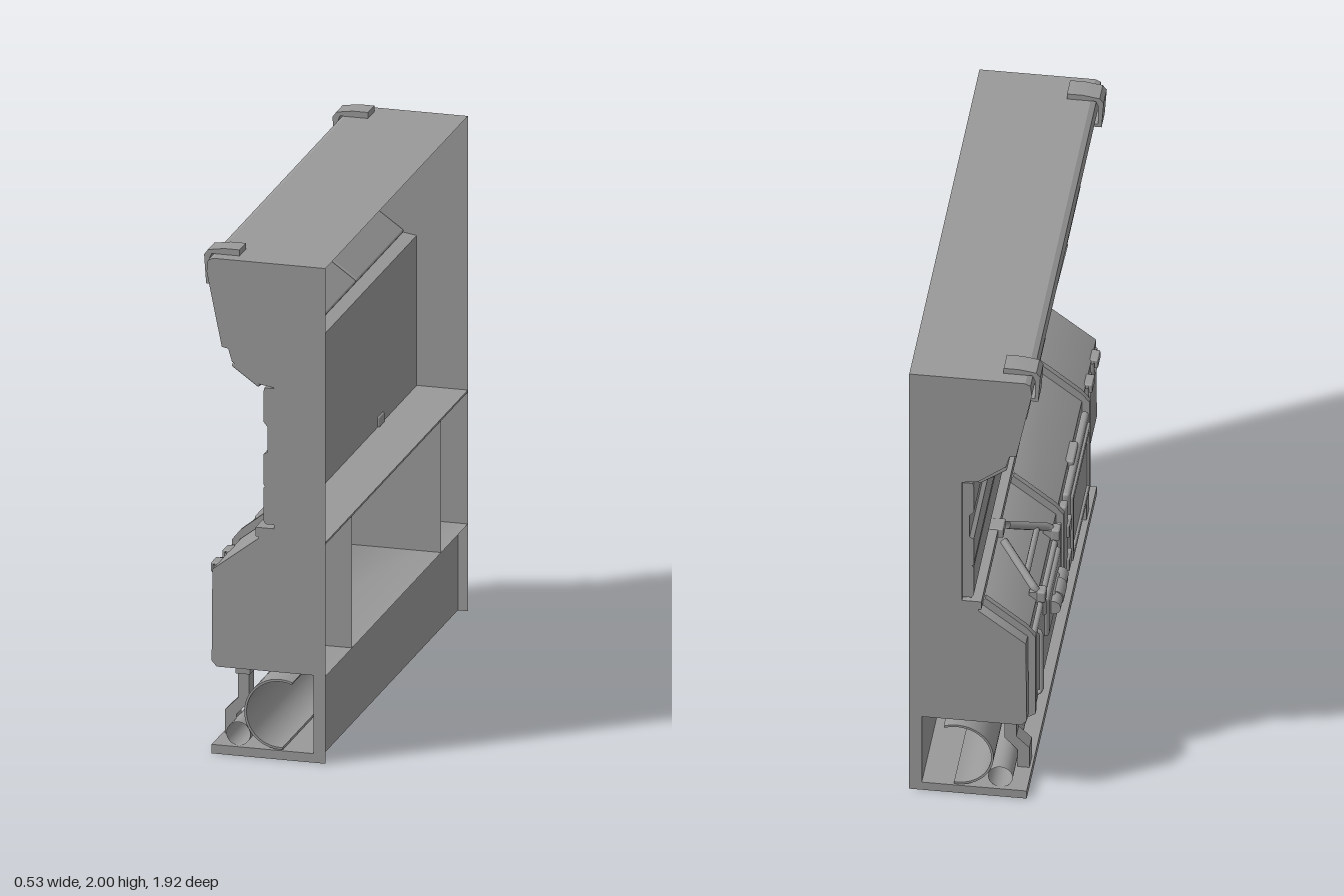
import * as THREE from 'three';
import { toCreasedNormals } from 'three/addons/utils/BufferGeometryUtils.js';
import { RoundedBoxGeometry } from 'three/addons/geometries/RoundedBoxGeometry.js';

const HALF = 0.96;
const BACK = 0.264;

export function createModel() {
  const group = new THREE.Group();
  const mat = new THREE.MeshStandardMaterial({ color: 0x999999, side: THREE.DoubleSide });

  const add = (name, geo) => {
    const m = new THREE.Mesh(geo, mat);
    m.name = name;
    group.add(m);
    return m;
  };
  const box = (name, x0, x1, y0, y1, z0, z1, r = 0) => {
    const s = [x1 - x0, y1 - y0, z1 - z0];
    const m = add(name, r ? new RoundedBoxGeometry(...s, 2, r) : new THREE.BoxGeometry(...s));
    m.position.set((x0 + x1) / 2, (y0 + y1) / 2, (z0 + z1) / 2);
    return m;
  };
  const shapeOf = pts => new THREE.Shape(pts.map(p => new THREE.Vector2(...p)));
  // solid with a side profile (x, y), running along z
  const prism = (name, pts, z0, z1) => {
    const g = new THREE.ExtrudeGeometry(shapeOf(pts), { depth: z1 - z0, bevelEnabled: false });
    return add(name, toCreasedNormals(g.translate(0, 0, z0), 0.4));
  };
  // open skin following a side profile along the full width
  const skin = (name, pts, crease) => {
    const g = new THREE.PlaneGeometry(1, 1, pts.length - 1, 1);
    const p = g.attributes.position;
    for (let i = 0; i < p.count; i++) {
      const [x, y] = pts[i % pts.length];
      p.setXYZ(i, x, y, i < pts.length ? -HALF : HALF);
    }
    return add(name, toCreasedNormals(g, crease));
  };
  const tube = (name, pts, r) => {
    const path = new THREE.CurvePath();
    const v = pts.map(p => new THREE.Vector3(...p));
    for (let i = 0; i < v.length - 1; i++) path.add(new THREE.LineCurve3(v[i], v[i + 1]));
    return add(name, new THREE.TubeGeometry(path, (v.length - 1) * 6, r, 8));
  };
  const rod = (name, x, y, z0, z1, r, open = false) => {
    const m = add(name, new THREE.CylinderGeometry(r, r, z1 - z0, 24, 1, open));
    m.rotation.x = Math.PI / 2;
    m.position.set(x, y, (z0 + z1) / 2);
    return m;
  };

  // main shell, open at the back
  const upper = [[BACK, 1.975], [-0.18, 1.975], [-0.2, 1.965], [-0.205, 1.92], [-0.145, 1.625],
    [-0.12, 1.62], [-0.105, 1.57], [0, 1.49], [0.062, 1.48], [0.062, 0.88]];
  const front = [[0, 0.875], [-0.182, 0.735], [-0.185, 0.37], [-0.165, 0.348]];
  const lower = [[0.062, 0.88], ...front, [BACK, 0.348]];
  skin('upperShell', upper, 0.4);
  skin('consoleShell', lower, 0.9);
  for (const z of [-HALF, HALF]) {
    const outline = [...upper, ...front, [0.222, 0.348], [0.222, 0], [BACK, 0]];
    add('endPanel', new THREE.ShapeGeometry(shapeOf(outline)).translate(0, 0, z));
  }

  // overhead doors: seam, lower handle recesses, slots and corner clips
  const onDoor = y => -0.205 + (1.92 - y) * 0.06 / 0.295;
  const seam = box('doorSeam', -0.005, 0.005, -0.148, 0.148, -0.004, 0.004);
  seam.position.set(onDoor(1.772), 1.772, 0);
  seam.rotation.z = Math.atan2(0.06, 0.295);
  for (const s of [-1, 1]) {
    const rim = [[0.73, 1.63], [0.68, 1.672], [0.27, 1.672], [0.22, 1.63]];
    tube('doorHandleRim', rim.map(([z, y]) => [onDoor(y), y, s * z]), 0.007);
    const z0 = s * 0.865 - 0.043;
    box('doorSlot', -0.2, -0.186, 1.855, 1.865, z0, z0 + 0.086);
    prism('cornerClip', [[-0.09, 1.976], [-0.09, 2], [-0.15, 2], [-0.215, 1.99], [-0.23, 1.97], [-0.222, 1.855],
      [-0.165, 1.855], [-0.165, 1.864], [-0.209, 1.87], [-0.209, 1.955], [-0.2, 1.976]], z0, z0 + 0.086);
  }

  // row of three slanted lamps
  for (let i = -1; i <= 1; i++) {
    const l = box('lamp', -0.067, 0.067, -0.016, 0.016, -0.315, 0.315, 0.008);
    l.position.set(-0.048, 1.525, i * 0.64);
    l.rotation.z = -0.62;
  }

  // padded wall
  prism('wallPanel', [[0.061, 1.475], [0.022, 1.475], [0.018, 1.46], [0.018, 1.34], [0.034, 1.32], [0.034, 1.22],
    [0.018, 1.21], [0.018, 1.09], [0.024, 1.083], [0.018, 1.076], [0.018, 0.945], [0.026, 0.932], [0.061, 0.932]],
  -0.955, 0.955);
  box('socketBox', -0.005, 0.035, 1.05, 1.215, 0.32, 0.6, 0.012);
  box('socketCover', -0.012, 0.01, 1.085, 1.2, 0.35, 0.57, 0.008);
  for (const z of [0.4, 0.52]) box('socketLatch', -0.01, 0.01, 1.058, 1.08, z - 0.02, z + 0.02);

  // shelf and ledge above the console
  box('shelf', 0, BACK, 0.874, 0.882, -HALF, HALF);
  box('ledgeRail', -0.012, 0.062, 0.882, 0.918, -HALF, HALF);
  for (const z of [-0.47, 0.47]) box('ledgeClip', -0.032, 0.07, 0.88, 0.922, z - 0.036, z + 0.036, 0.006);

  // console partitions and inner plate
  for (const z of [-0.6, 0.6]) {
    add('partition', new THREE.ShapeGeometry(shapeOf([[BACK, 0.875], ...front, [BACK, 0.348]])).translate(0, 0, z));
  }
  const plate = new THREE.ShapeGeometry(shapeOf([[-0.6, 0.35], [0.155, 0.35], [0.155, 0.53], [0.11, 0.58], [0.07, 0.59],
    [-0.6, 0.59]]));
  add('innerPlate', plate.rotateY(Math.PI / 2).translate(-0.13, 0, 0));

  // ribs hugging the console front
  const rib = [[-0.02, 0.9], [-0.06, 0.87], [-0.18, 0.775], [-0.212, 0.735], [-0.212, 0.37], [-0.18, 0.35],
    [-0.168, 0.35], [-0.186, 0.37], [-0.183, 0.736], [-0.001, 0.876]];
  for (const z of [-0.9, -0.13, 0.58]) prism('consoleRib', rib, z - 0.012, z + 0.012);

  // console doors
  box('leftDoor', -0.208, -0.186, 0.37, 0.72, -0.87, -0.16, 0.01);
  box('leftDoorPad', -0.225, -0.19, 0.53, 0.71, -0.64, -0.3, 0.012);
  box('rightDoor', -0.215, -0.186, 0.37, 0.725, 0, 0.53, 0.012);
  for (const y of [0.4, 0.68]) box('rightDoorFrame', -0.225, -0.2, y - 0.016, y + 0.016, 0.03, 0.5, 0.006);
  for (const z of [0.045, 0.485]) box('rightDoorFrame', -0.225, -0.2, 0.39, 0.69, z - 0.016, z + 0.016, 0.006);
  box('centrePost', -0.218, -0.186, 0.36, 0.74, -0.1, -0.05, 0.01);
  for (const y of [0.46, 0.62]) box('postLatch', -0.228, -0.2, y - 0.03, y + 0.03, -0.095, -0.02, 0.006);
  tube('doorGrabBar', [[-0.2, 0.7, -0.82], [-0.222, 0.69, -0.82], [-0.222, 0.41, -0.82], [-0.2, 0.4, -0.82]], 0.009);

  // grip handle and its struts
  rod('grip', -0.232, 0.627, -0.58, -0.36, 0.03);
  rod('gripSleeve', -0.232, 0.627, -0.52, -0.43, 0.034);
  box('gripMount', -0.235, -0.19, 0.59, 0.665, -0.54, -0.4, 0.012);
  for (const z of [-0.66, -0.27]) {
    const top = -0.47 + (z + 0.47) * 0.25;
    tube('strut', [[-0.205, 0.66, z], [-0.203, 0.735, z], [-0.175, 0.772, z], [-0.035, 0.88, top]], 0.016);
    box('strutFoot', -0.218, -0.184, 0.725, 0.775, z - 0.025, z + 0.025, 0.008);
  }
  tube('strutBrace', [[-0.135, 0.8, -0.6], [-0.135, 0.8, -0.33]], 0.012);
  box('topLatch', -0.205, -0.165, 0.69, 0.742, 0.185, 0.315, 0.008);
  for (const z of [-0.27, -0.66]) box('strutBolt', -0.19, -0.155, 0.725, 0.77, z - 0.022, z + 0.022);

  // hanging rings
  for (const z of [0.705, 0.86]) {
    box('ringMount', -0.208, -0.172, 0.7, 0.74, z - 0.035, z + 0.035, 0.006);
    const arc = Array.from({ length: 9 }, (_, i) => {
      const a = Math.PI * i / 8;
      return [-0.188, 0.702 - 0.042 * Math.sin(a), z + 0.044 * Math.cos(a)];
    });
    tube('ring', [[-0.186, 0.735, z + 0.044], ...arc, [-0.186, 0.735, z - 0.044]], 0.009);
  }

  // base tray, its back panel set in from the end panels' edge
  box('base', -0.185, 0.222, 0, 0.036, -HALF, HALF);
  box('baseBack', 0.216, 0.224, 0, 0.348, -HALF, HALF);

  // open trough and pipe lying along the base
  const arcOf = r => Array.from({ length: 29 }, (_, i) => {
    const a = 1.2 + i * (3.6 / 28);
    return [0.082 + r * Math.cos(a), 0.178 + r * Math.sin(a)];
  });
  prism('trough', [...arcOf(0.14), ...arcOf(0.131).reverse()], -0.955, 0.955);
  rod('pipe', -0.083, 0.085, -0.95, 0.95, 0.047, true);
  for (const z of [-0.55, 0, 0.55]) rod('pipeCollar', -0.083, 0.085, z - 0.02, z + 0.02, 0.05, true);

  // legs holding the pipe
  for (const z of [-0.78, 0.78]) {
    prism('leg', [[-0.165, 0.352], [-0.125, 0.31], [-0.125, 0.18], [-0.175, 0.13], [-0.175, 0.036], [-0.13, 0.036],
      [-0.13, 0.115], [-0.08, 0.17], [-0.08, 0.352]], z - 0.033, z + 0.033);
    box('legBand', -0.132, -0.075, 0.28, 0.3, z - 0.04, z + 0.04);
  }
  return group;
}
